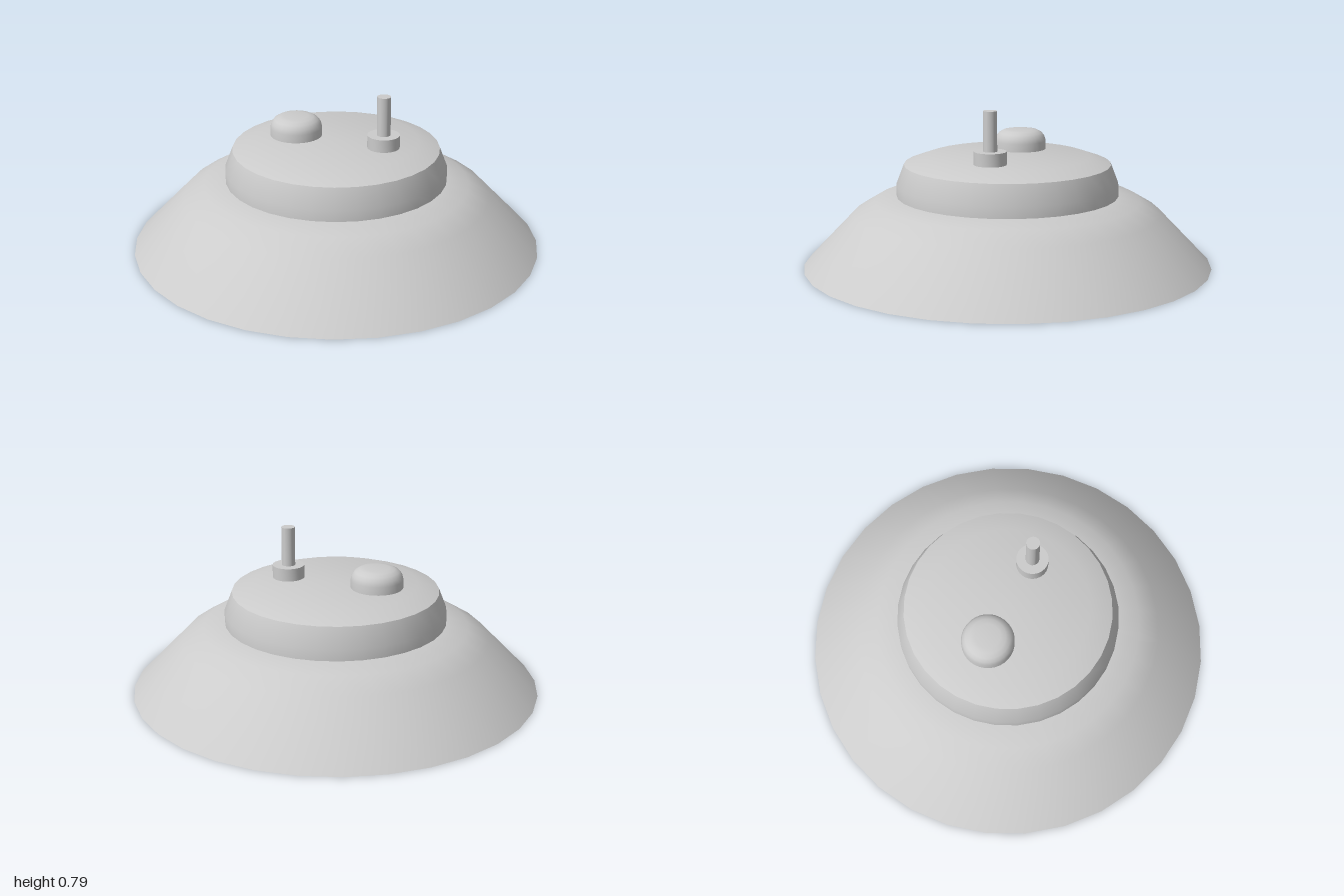
import * as THREE from 'three';
import { toCreasedNormals } from 'three/addons/utils/BufferGeometryUtils.js';

const material = new THREE.MeshStandardMaterial({ color: 0xcccccc });

// Revolves a [radius, height] profile, listed from bottom to top, keeping sharp edges
function turned(name, profile, segments, x = 0, z = 0) {
  const points = profile.map(([r, y]) => new THREE.Vector2(r, y));
  const geometry = toCreasedNormals(new THREE.LatheGeometry(points, segments), 0.6);
  const mesh = new THREE.Mesh(geometry, material);
  mesh.name = name;
  mesh.position.set(x, 0, z);
  mesh.rotation.y = 0.02;
  return mesh;
}

export function createModel() {
  const group = new THREE.Group();
  group.name = 'domedDevice';

  // Wide flared base, closed underneath
  group.add(turned('base', [
    [0, 0], [1, 0], [0.75, 0.26], [0.65, 0.32], [0.53, 0.348], [0, 0.348],
  ], 32));

  // Raised hub with tapered wall and slightly crowned lid
  group.add(turned('hub', [
    [0, 0.32], [0.543, 0.32], [0.543, 0.4], [0.505, 0.498], [0.4, 0.535], [0, 0.535],
  ], 32));

  // Rounded push button
  group.add(turned('button', [
    [0, 0.52], [0.127, 0.52], [0.127, 0.575], [0.121, 0.598], [0.107, 0.616],
    [0.086, 0.628], [0.06, 0.632], [0, 0.632],
  ], 32, -0.09, -0.19));

  // Fuse collar and its upright pin
  const fuse = new THREE.Group();
  fuse.name = 'fuse';
  fuse.add(turned('fuseCollar', [[0, 0.52], [0.078, 0.52], [0.078, 0.598], [0, 0.598]], 32, 0.1, 0.225));
  fuse.add(turned('fusePin', [[0, 0.58], [0.033, 0.58], [0.033, 0.79], [0, 0.79]], 32, 0.1, 0.225));
  group.add(fuse);

  return group;
}
